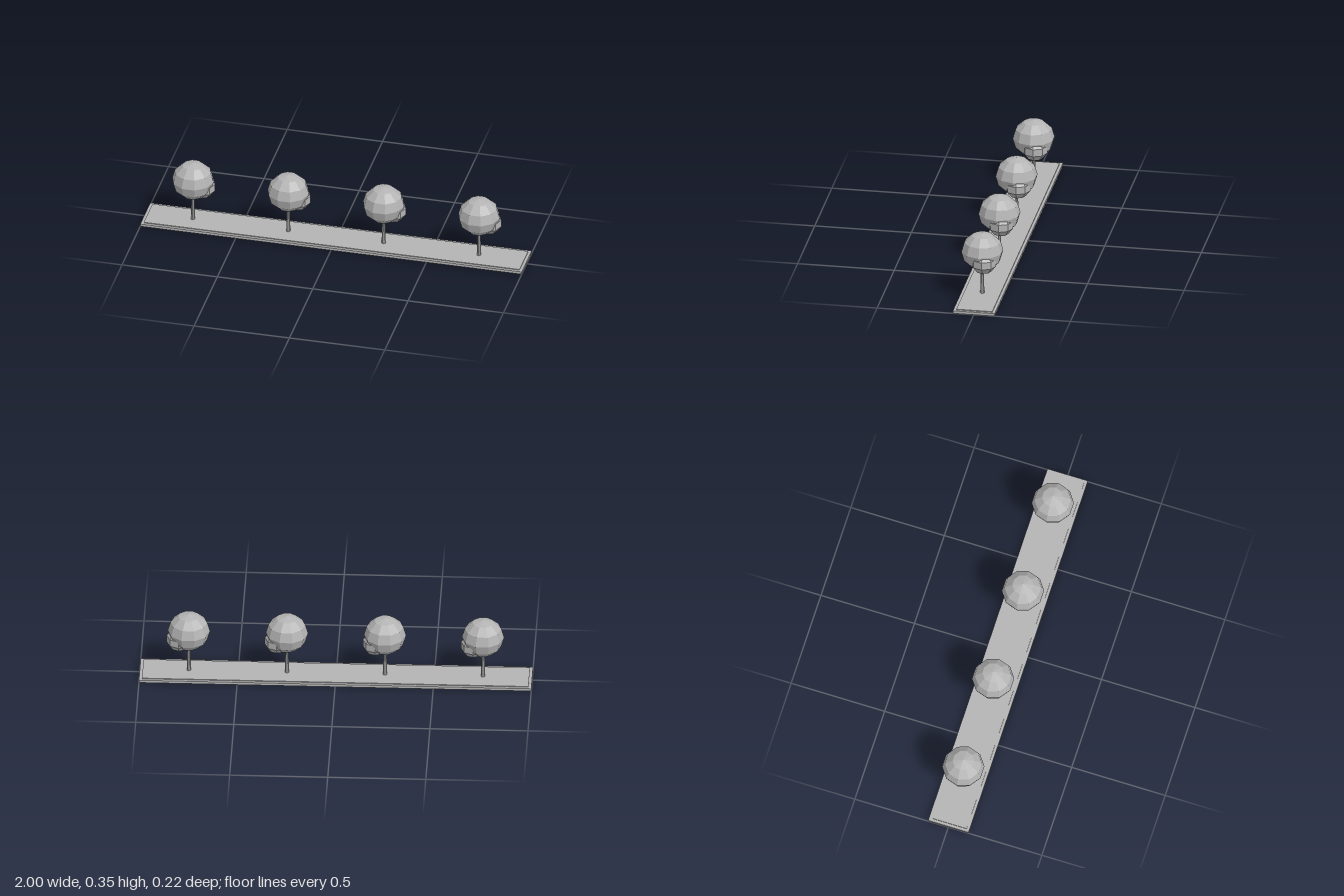
import * as THREE from 'three';

export function createModel() {
  const model = new THREE.Group();
  const grey = new THREE.MeshStandardMaterial({ color: 0xb4b4b4 });
  grey.name = 'plain grey';
  grey.flatShading = true;

  const add = (parent, name, geometry, x, y, z) => {
    const mesh = new THREE.Mesh(geometry, grey);
    mesh.name = name;
    mesh.position.set(x, y, z);
    parent.add(mesh);
    return mesh;
  };

  // Stepped planting strip
  add(model, 'stripBase', new THREE.BoxGeometry(2, 0.014, 0.216), 0, 0.007, 0);
  add(model, 'stripBed', new THREE.BoxGeometry(1.97, 0.008, 0.186), 0, 0.014, 0);

  // Shared tree parts: slightly squashed low-poly crowns on a tapered trunk
  const trunk = new THREE.CylinderGeometry(0.007, 0.011, 0.16, 8);
  const crown = new THREE.SphereGeometry(0.108, 10, 6).scale(1, 0.926, 1);
  const sideCrown = new THREE.SphereGeometry(0.067, 8, 5).scale(1, 0.926, 1);

  // Row of four identical trees
  for (let i = 0; i < 4; i++) {
    const tree = new THREE.Group();
    tree.name = 'tree' + (i + 1);
    tree.position.x = -0.75 + i * 0.5;
    add(tree, 'trunk', trunk, 0, 0.096, 0);
    add(tree, 'crown', crown, 0, 0.25, 0);
    add(tree, 'sideCrown', sideCrown, 0.049, 0.21, -0.016);
    model.add(tree);
  }
  return model;
}
